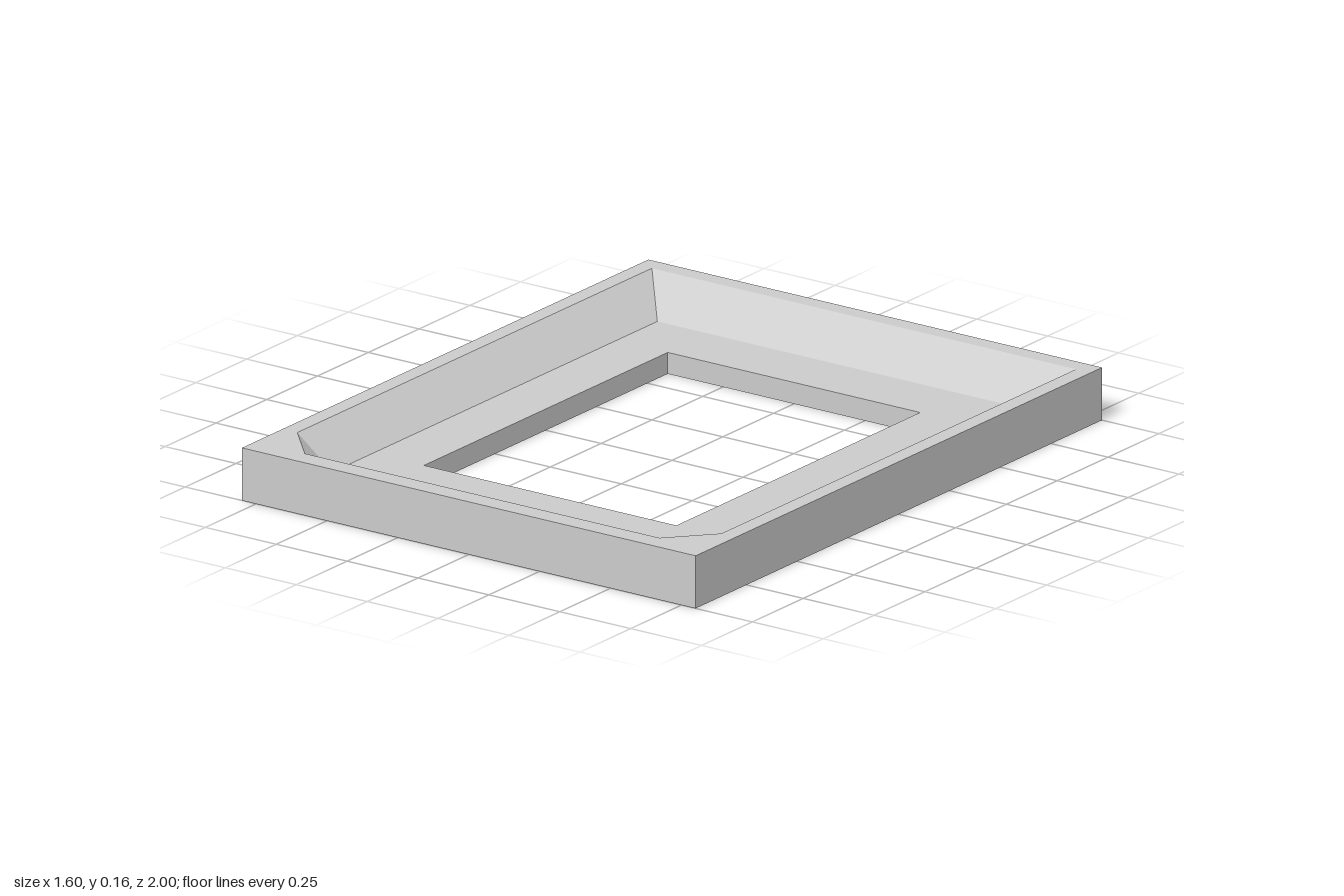
import * as THREE from 'three';

// Six-point ring, counterclockwise seen from above. The two front corners may be cut:
// each side runs from zBack to zSide, the front edge lies at zFront between -xFront and xFront.
function ring(y, x, zBack, zSide, xFront = x, zFront = zSide) {
  return [
    [-x, y, zSide], [-xFront, y, zFront], [xFront, y, zFront],
    [x, y, zSide], [x, y, zBack], [-x, y, zBack],
  ];
}

// Skins consecutive rings, closing back to the first, and skips collapsed triangles.
function skinRings(rings) {
  const positions = [];
  const same = (p, q) => p.every((v, k) => v === q[k]);
  const triangle = (a, b, c) => {
    if (!same(a, b) && !same(b, c) && !same(a, c)) positions.push(...a, ...b, ...c);
  };
  rings.forEach((lower, r) => {
    const upper = rings[(r + 1) % rings.length];
    lower.forEach((p, i) => {
      const j = (i + 1) % lower.length;
      triangle(p, lower[j], upper[j]);
      triangle(p, upper[j], upper[i]);
    });
  });
  const geometry = new THREE.BufferGeometry();
  geometry.setAttribute('position', new THREE.Float32BufferAttribute(positions, 3));
  geometry.computeVertexNormals();
  return geometry;
}

export function createModel() {
  const group = new THREE.Group();
  group.name = 'recessedFrame';

  const height = 0.16, floorY = 0.065;
  const geometry = skinRings([
    ring(0, 0.8, -1, 1),                               // outer foot
    ring(height, 0.8, -1, 1),                          // outer top edge
    ring(height, 0.748, -0.945, 0.8, 0.625, 0.935),    // rim opening with cut front corners
    ring(floorY, 0.625, -0.8, 0.8),                    // foot of the sloped walls
    ring(floorY, 0.445, -0.6, 0.6),                    // window, upper edge
    ring(0, 0.445, -0.6, 0.6),                         // window, lower edge
  ]);
  const material = new THREE.MeshStandardMaterial({ color: 0xcccccc, flatShading: true });
  const frame = new THREE.Mesh(geometry, material);
  frame.name = 'frame';
  group.add(frame);
  return group;
}
